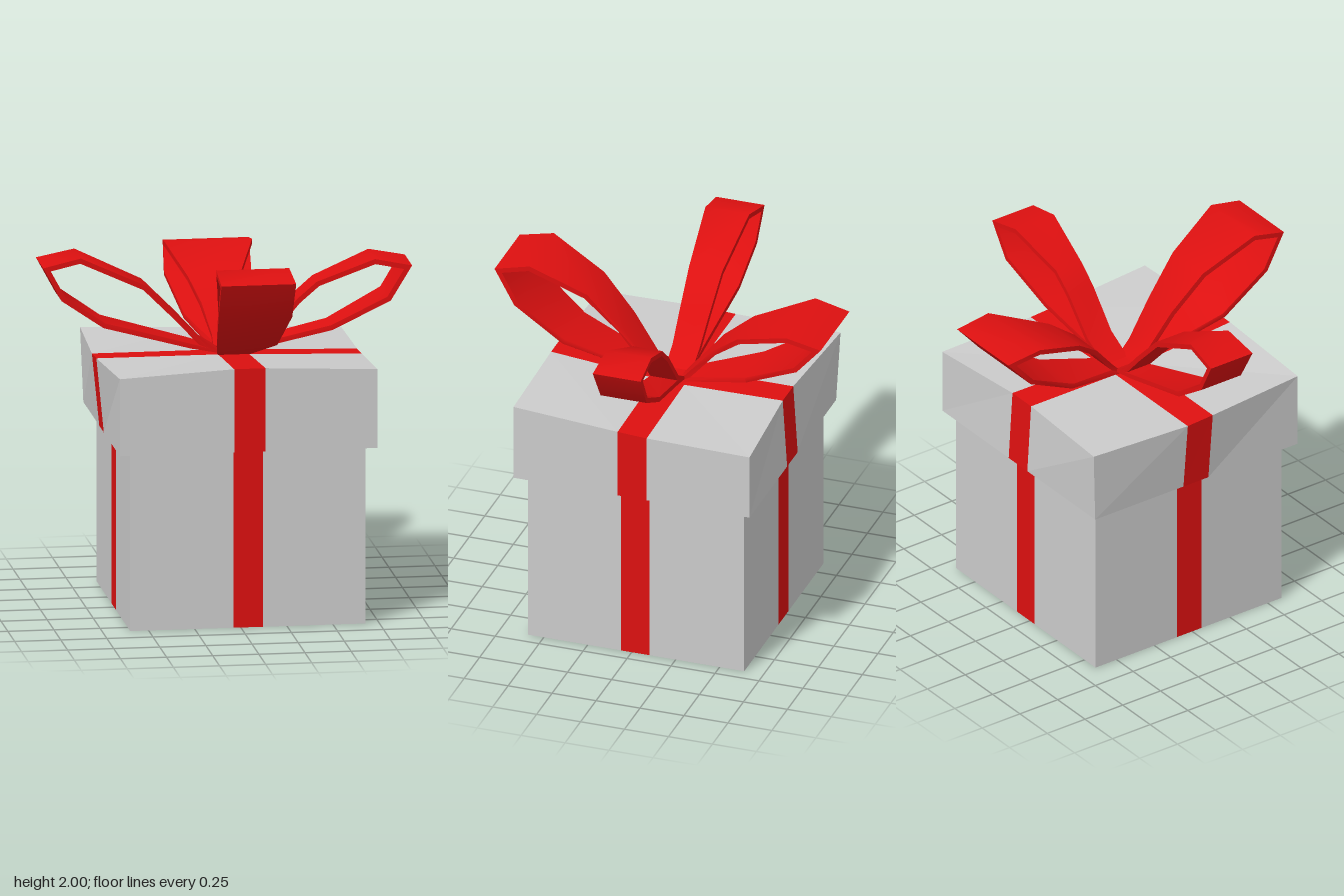
import * as THREE from 'three';
import { toCreasedNormals } from 'three/addons/utils/BufferGeometryUtils.js';

const paper = new THREE.MeshStandardMaterial({ color: 0xcccccc, side: THREE.DoubleSide });
const red = new THREE.MeshStandardMaterial({ color: 0xdd1010, side: THREE.DoubleSide });

function quadMesh(name, quads, material) {
  const positions = [];
  for (const [a, b, c, d] of quads) for (const p of [a, b, c, a, c, d]) positions.push(...p);
  const geometry = new THREE.BufferGeometry();
  geometry.setAttribute('position', new THREE.Float32BufferAttribute(positions, 3));
  geometry.computeVertexNormals();
  const mesh = new THREE.Mesh(geometry, material);
  mesh.name = name;
  return mesh;
}

// Box cut into 3 x 3 panels per face, the middle panels being ribbon.
// bottom(i, k) and top(i, k) give the grid points, i along x and k along z.
function wrappedBox(name, bottom, top, hasTop) {
  const plain = [], ribbon = [];
  const add = (isRibbon, ...quad) => (isRibbon ? ribbon : plain).push(quad);
  for (let a = 0; a < 3; a++) {
    const b = a + 1, mid = a === 1;
    add(mid, bottom(a, 3), bottom(b, 3), top(b, 3), top(a, 3));
    add(mid, bottom(b, 0), bottom(a, 0), top(a, 0), top(b, 0));
    add(mid, bottom(3, b), bottom(3, a), top(3, a), top(3, b));
    add(mid, bottom(0, a), bottom(0, b), top(0, b), top(0, a));
    for (let k = 0; k < 3; k++) {
      const strip = mid || k === 1;
      add(strip, bottom(a, k), bottom(b, k), bottom(b, k + 1), bottom(a, k + 1));
      if (hasTop) add(strip, top(a, k + 1), top(b, k + 1), top(b, k), top(a, k));
    }
  }
  const group = new THREE.Group();
  group.name = name;
  group.add(quadMesh(name + 'Panels', plain, paper), quadMesh(name + 'Ribbon', ribbon, red));
  return group;
}

// Inward mitred offset of a clockwise outline
function inset(points, t) {
  const n = points.length;
  const normal = (p, q) => new THREE.Vector2(q.y - p.y, p.x - q.x).normalize();
  return points.map((p, i) => {
    const n1 = normal(points[(i + n - 1) % n], p), n2 = normal(p, points[(i + 1) % n]);
    const m = n1.clone().add(n2).normalize();
    return p.clone().addScaledVector(m, t / Math.max(0.3, m.dot(n1)));
  });
}

// Ribbon edges [distance, low, high] interpolated at distance u
function edgesAt(table, u) {
  let j = 1;
  while (j < table.length - 1 && u > table[j][0]) j++;
  const [p, q] = [table[j - 1], table[j]];
  const f = THREE.MathUtils.clamp((u - p[0]) / (q[0] - p[0]), 0, 1);
  return [1, 2].map((e) => THREE.MathUtils.lerp(p[e], q[e], f));
}

// Closed ribbon loop: outline of [distance from centre, height], flaring outward
function bowLoop({ name, axis, sign, outline, widths }) {
  const points = outline.map(([u, y]) => new THREE.Vector2(u, y));
  const shape = new THREE.Shape(points);
  shape.holes.push(new THREE.Path(inset(points, 0.027)));
  const geometry = new THREE.ExtrudeGeometry(shape, { depth: 1, bevelEnabled: false });
  const pos = geometry.attributes.position;
  const flip = (axis === 'x') !== (sign > 0);
  for (let i = 0; i < pos.count; i++) {
    const u = pos.getX(i), y = pos.getY(i), t = pos.getZ(i);
    const [lo, hi] = edgesAt(widths, u);
    const across = THREE.MathUtils.lerp(lo, hi, flip ? 1 - t : t);
    if (axis === 'x') pos.setXYZ(i, sign * u, y, across);
    else pos.setXYZ(i, across, y, sign * u);
  }
  const mesh = new THREE.Mesh(toCreasedNormals(geometry, 1.2), red);
  mesh.name = name;
  return mesh;
}

const loops = [
  { name: 'leftLoop', axis: 'x', sign: 1,
    outline: [[0.06, 1.385], [0.21, 1.47], [0.38, 1.67], [0.49, 1.765], [0.8, 1.89], [1, 1.85], [0.885, 1.66], [0.575, 1.5], [0.22, 1.42]],
    widths: [[0.1, -0.1, 0.05], [0.5, -0.11, 0.055], [0.8, -0.155, 0.1], [1, -0.165, 0.107]] },
  { name: 'rightLoop', axis: 'x', sign: -1,
    outline: [[0.01, 1.385], [0.13, 1.46], [0.26, 1.6], [0.435, 1.775], [0.795, 1.945], [1, 1.9], [0.9, 1.715], [0.67, 1.555], [0.19, 1.42]],
    widths: [[0.1, -0.1, 0.05], [0.55, -0.13, 0.07], [0.8, -0.15, 0.1], [1, -0.165, 0.11]] },
  { name: 'frontLoop', axis: 'z', sign: 1,
    outline: [[0.03, 1.375], [0.1, 1.45], [0.245, 1.65], [0.43, 1.845], [0.735, 2], [0.93, 1.955], [0.82, 1.75], [0.56, 1.54], [0.14, 1.4]],
    widths: [[0.1, -0.045, 0.115], [0.3, -0.08, 0.14], [0.72, -0.155, 0.24], [0.93, -0.155, 0.25]] },
  { name: 'backLoop', axis: 'z', sign: -1,
    outline: [[0.06, 1.375], [0.13, 1.45], [0.26, 1.6], [0.41, 1.71], [0.73, 1.835], [0.93, 1.8], [0.79, 1.64], [0.47, 1.47], [0.15, 1.39]],
    widths: [[0.15, -0.05, 0.11], [0.38, -0.13, 0.13], [0.72, -0.22, 0.255], [0.93, -0.2, 0.265]] },
];

export function createModel() {
  const model = new THREE.Group();
  model.name = 'giftBox';

  // Box body
  const bodyX = [-0.6, -0.04, 0.12, 0.675], bodyZ = [-0.64, -0.1, 0.06, 0.59];
  const bodyAt = (y) => (i, k) => [bodyX[i], y, bodyZ[k]];
  model.add(wrappedBox('body', bodyAt(0), bodyAt(0.98), false));

  // Slightly warped lid
  const lidX = [-0.665, -0.045, 0.125, 0.732], lidZ = [-0.69, -0.105, 0.06, 0.652];
  const topLeftX = [-0.68, -0.705, -0.705, -0.665], topBackZ = [-0.71, -0.665, -0.665, -0.69];
  const topY = [
    [1.385, 1.375, 1.375, 1.345],
    [1.375, 1.375, 1.37, 1.355],
    [1.385, 1.385, 1.38, 1.365],
    [1.4, 1.435, 1.435, 1.41],
  ];
  const lidBottom = (i, k) => [lidX[i], 0.977, lidZ[k]];
  const lidTop = (i, k) => [i ? lidX[i] : topLeftX[k], topY[k][i], k ? lidZ[k] : topBackZ[i]];
  model.add(wrappedBox('lid', lidBottom, lidTop, true));

  // Bow
  const bow = new THREE.Group();
  bow.name = 'bow';
  for (const loop of loops) bow.add(bowLoop(loop));
  model.add(bow);
  return model;
}
